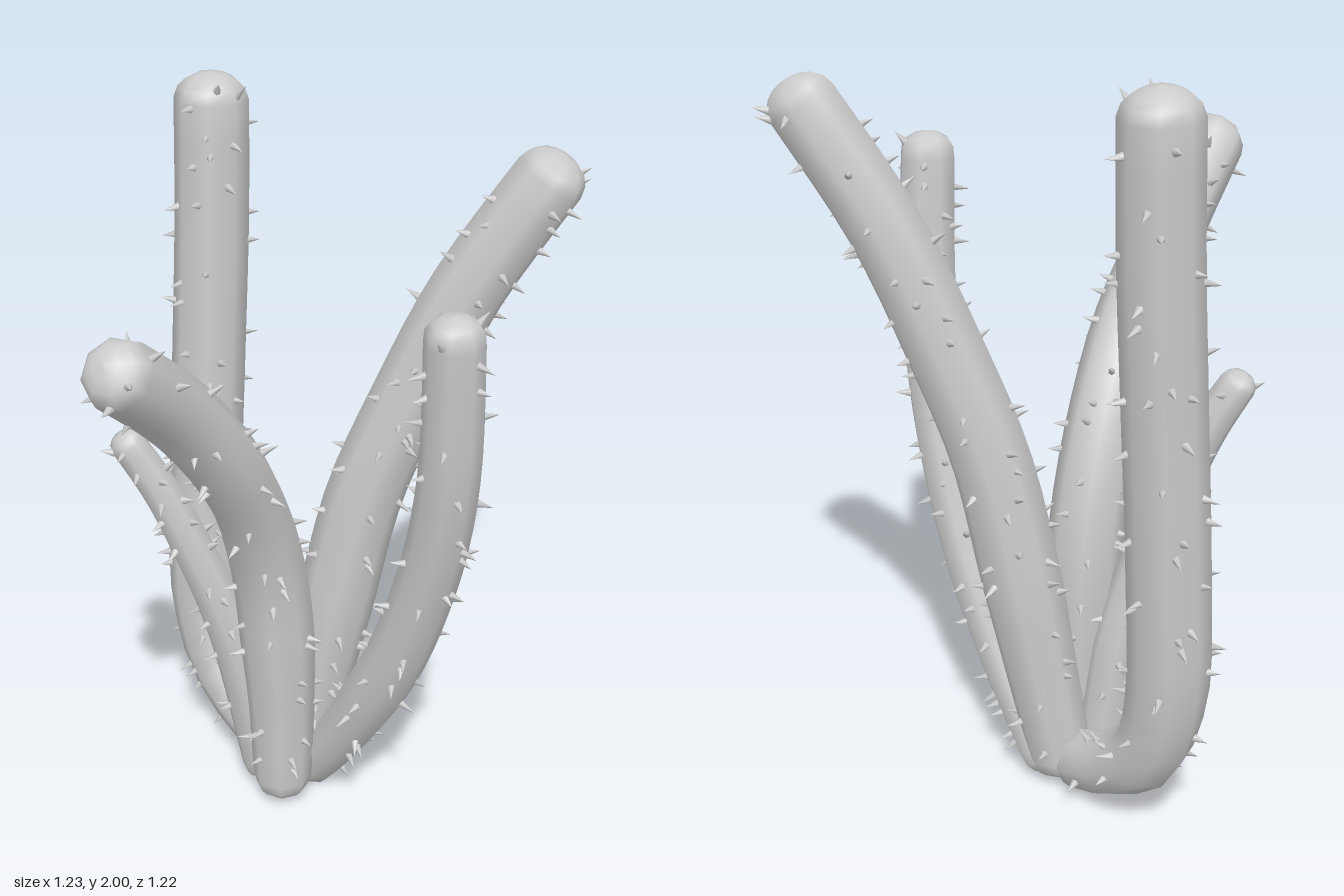
import * as THREE from 'three';
import { mergeGeometries } from 'three/addons/utils/BufferGeometryUtils.js';

const SIDES = 8;

// Each stem: centre line from root to tip, radius at root, middle and tip, number of spines
const STEMS = [
  { name: 'tallBackStem', radii: [0.082, 0.105, 0.098], spines: 80, path: [
    [-0.13, 0.06, -0.14], [-0.25, 0.115, -0.25], [-0.36, 0.23, -0.355], [-0.405, 0.42, -0.4],
    [-0.4, 0.8, -0.43], [-0.38, 1.2, -0.45], [-0.36, 1.6, -0.47], [-0.35, 1.99, -0.485]] },
  { name: 'leftStem', radii: [0.085, 0.108, 0.092], spines: 80, path: [
    [-0.13, 0.01, -0.15], [-0.07, 0.3, -0.15], [0, 0.65, -0.15], [0.07, 0.95, -0.15],
    [0.175, 1.22, -0.15], [0.32, 1.54, -0.15], [0.55, 1.9, -0.15]] },
  { name: 'frontRightStem', radii: [0.08, 0.104, 0.088], spines: 72, path: [
    [-0.155, 0.01, -0.035], [-0.157, 0.4, -0.03], [-0.175, 0.75, -0.005], [-0.21, 1.0, 0.07],
    [-0.257, 1.2, 0.18], [-0.345, 1.41, 0.32], [-0.47, 1.65, 0.56]] },
  { name: 'frontLeftStem', radii: [0.068, 0.085, 0.073], spines: 70, path: [
    [-0.1, 0.01, -0.15], [0, 0.19, -0.06], [0.095, 0.4, 0.03], [0.17, 0.6, 0.1],
    [0.225, 0.8, 0.155], [0.265, 1.0, 0.205], [0.29, 1.25, 0.255], [0.29, 1.67, 0.295]] },
  { name: 'smallRightStem', radii: [0.062, 0.07, 0.048], spines: 42, path: [
    [-0.21, 0.02, -0.11], [-0.235, 0.2, -0.1], [-0.265, 0.4, -0.09], [-0.315, 0.6, -0.075],
    [-0.385, 0.8, -0.062], [-0.47, 1.0, -0.052], [-0.565, 1.165, -0.045]] },
];

function seeded(seed) {
  return () => {
    seed = (seed * 1664525 + 1013904223) % 4294967296;
    return seed / 4294967296;
  };
}

// Curve, frames and rounded-end radius of a stem
function makeStem({ path, radii }) {
  const curve = new THREE.CatmullRomCurve3(path.map((p) => new THREE.Vector3(...p)), false, 'centripetal');
  const steps = 200;
  const frames = curve.computeFrenetFrames(steps, false);
  const length = curve.getLength();
  const radius = (t) => {
    const swell = t < 0.3
      ? THREE.MathUtils.lerp(radii[0], radii[1], t / 0.3)
      : THREE.MathUtils.lerp(radii[1], radii[2], (t - 0.3) / 0.7);
    const reach = Math.min(1, (Math.min(t, 1 - t) * length) / (swell * 0.75));
    return swell * Math.max(0.01, Math.sqrt(1 - (1 - reach) ** 2));
  };
  const outward = (t, angle) => {
    const i = Math.round(t * steps);
    return frames.normals[i].clone().multiplyScalar(Math.cos(angle))
      .addScaledVector(frames.binormals[i], Math.sin(angle));
  };
  const point = (t, angle, scale = 1) =>
    curve.getPointAt(t).addScaledVector(outward(t, angle), radius(t) * scale);
  return { curve, length, outward, point };
}

// Eight-sided skin lofted along the stem with closely spaced rings at the rounded ends
function skinGeometry(stem) {
  const ends = [0, 0.006, 0.02, 0.04, 0.07].map((d) => d / stem.length);
  const rings = [...ends];
  const first = ends[ends.length - 1];
  for (let i = 1; i < 22; i++) rings.push(first + ((1 - 2 * first) * i) / 22);
  rings.push(...ends.map((t) => 1 - t).reverse());

  const positions = [];
  const index = [];
  rings.forEach((t, r) => {
    for (let s = 0; s < SIDES; s++) {
      positions.push(...stem.point(t, (s / SIDES) * Math.PI * 2).toArray());
      if (r === 0) continue;
      const n = (s + 1) % SIDES;
      const a = (r - 1) * SIDES + s, b = (r - 1) * SIDES + n;
      const c = r * SIDES + n, d = r * SIDES + s;
      index.push(a, b, c, a, c, d);
    }
  });
  const last = (rings.length - 1) * SIDES;
  for (let s = 1; s < SIDES - 1; s++) {
    index.push(0, s + 1, s, last, last + s, last + s + 1);
  }
  const geometry = new THREE.BufferGeometry();
  geometry.setAttribute('position', new THREE.Float32BufferAttribute(positions, 3));
  geometry.setIndex(index);
  geometry.computeVertexNormals();
  return geometry;
}

// Small cones scattered over the skin, pointing outwards
function spineGeometry(stem, count, random) {
  const up = new THREE.Vector3(0, 1, 0);
  const cones = [];
  for (let i = 0; i < count; i++) {
    const t = 0.05 + 0.94 * ((i + random()) / count);
    const angle = random() * Math.PI * 2;
    const height = 0.038 + random() * 0.014;
    const direction = stem.outward(t, angle);
    const tilt = t > 0.97 ? 1 : (random() - 0.5) * 0.5;
    direction.addScaledVector(stem.curve.getTangentAt(t), tilt).normalize();
    const cone = new THREE.ConeGeometry(0.012, height, 6);
    cone.translate(0, height / 2 - 0.006, 0);
    cone.applyQuaternion(new THREE.Quaternion().setFromUnitVectors(up, direction));
    cone.translate(...stem.point(t, angle, 0.94).toArray());
    cones.push(cone);
  }
  return mergeGeometries(cones);
}

export function createModel() {
  const model = new THREE.Group();
  model.name = 'cactus';
  const material = new THREE.MeshStandardMaterial({ color: 0xcccccc });
  const random = seeded(17);
  for (const spec of STEMS) {
    const stem = makeStem(spec);
    const group = new THREE.Group();
    group.name = spec.name;
    const skin = new THREE.Mesh(skinGeometry(stem), material);
    skin.name = 'skin';
    const spines = new THREE.Mesh(spineGeometry(stem, spec.spines, random), material);
    spines.name = 'spines';
    group.add(skin, spines);
    model.add(group);
  }
  return model;
}
